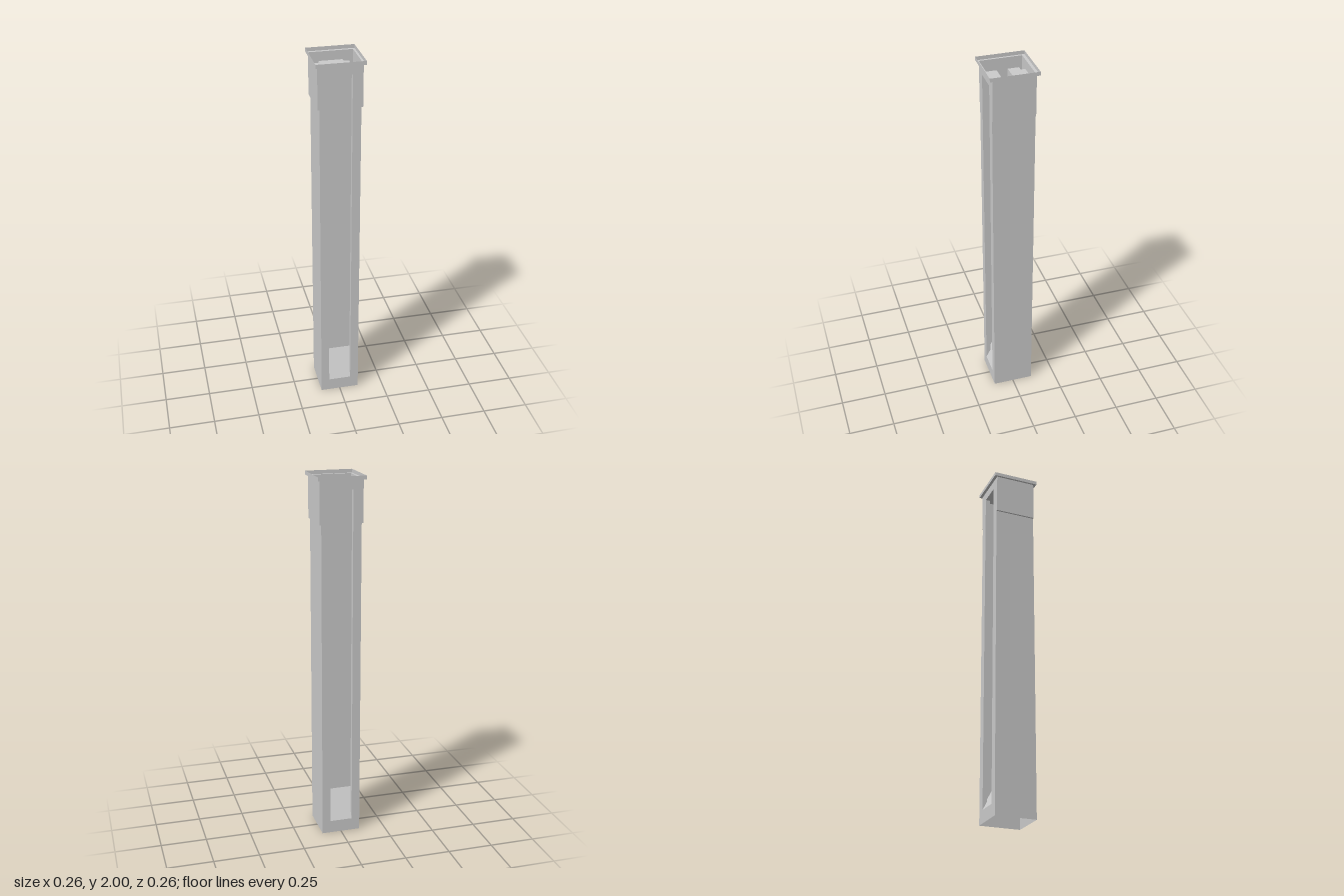
import * as THREE from 'three';

const BODY_X = 0.108, COLLAR_X = 0.117, HALF_Z = 0.1125, RIM = 0.128;
const COLLAR_Y = 1.755, RIM_Y = 1.98, TOP_Y = 2;
const SLOT_X = 0.0625, SLOT_LOW = 0.07, SLOT_HIGH = 1.93;
const CAVITY_X = 0.0905, LIP_Z = 0.088, BACK_Z = 0.029, RAMP_TOP = 0.23;

const material = new THREE.MeshStandardMaterial({
  color: 0xcccccc, side: THREE.DoubleSide, flatShading: true,
});

function addMesh(parent, name, geometry) {
  geometry.computeVertexNormals();
  const mesh = new THREE.Mesh(geometry, material);
  mesh.name = name;
  parent.add(mesh);
  return mesh;
}

const shapeOf = (points) => new THREE.Shape(points.map(([a, b]) => new THREE.Vector2(a, b)));
const rectangle = (x, y0, y1) => [[-x, y0], [x, y0], [x, y1], [-x, y1]];

// Strip of quads between two matching rows of [x, y, z] points
function strip(rowA, rowB) {
  const positions = [];
  for (let i = 0; i < rowA.length - 1; i++) {
    positions.push(...rowA[i], ...rowA[i + 1], ...rowB[i + 1]);
    positions.push(...rowA[i], ...rowB[i + 1], ...rowB[i]);
  }
  const geometry = new THREE.BufferGeometry();
  geometry.setAttribute('position', new THREE.Float32BufferAttribute(positions, 3));
  return geometry;
}

// Flat plan shape (x, z) raised to a height that depends on z
function raisedPlan(shape, height) {
  const geometry = new THREE.ShapeGeometry(shape);
  const p = geometry.attributes.position;
  for (let i = 0; i < p.count; i++) {
    const z = p.getY(i);
    p.setXYZ(i, p.getX(i), height(z), z);
  }
  return geometry;
}

// Slotted face with the undercut channel behind it
function createSlottedFace() {
  const face = new THREE.Group();
  const panel = shapeOf([
    [-BODY_X, 0], [BODY_X, 0], [BODY_X, COLLAR_Y], [COLLAR_X, COLLAR_Y],
    [COLLAR_X, RIM_Y], [-COLLAR_X, RIM_Y], [-COLLAR_X, COLLAR_Y], [-BODY_X, COLLAR_Y],
  ]);
  panel.holes.push(shapeOf(rectangle(SLOT_X, SLOT_LOW, SLOT_HIGH)));
  addMesh(face, 'slottedPanel', new THREE.ShapeGeometry(panel).translate(0, 0, HALF_Z));

  // T-shaped channel plan: narrow slot, then a wider cavity
  const plan = [
    [SLOT_X, HALF_Z], [SLOT_X, LIP_Z], [CAVITY_X, LIP_Z], [CAVITY_X, BACK_Z],
    [-CAVITY_X, BACK_Z], [-CAVITY_X, LIP_Z], [-SLOT_X, LIP_Z], [-SLOT_X, HALF_Z],
  ];
  const ramp = (z) => THREE.MathUtils.mapLinear(z, HALF_Z, BACK_Z, SLOT_LOW, RAMP_TOP);
  addMesh(face, 'channelWalls', strip(
    plan.map(([x, z]) => [x, ramp(z), z]),
    plan.map(([x, z]) => [x, SLOT_HIGH, z]),
  ));
  addMesh(face, 'channelRamp', raisedPlan(shapeOf(plan), ramp));
  addMesh(face, 'channelCeiling', raisedPlan(shapeOf(plan), () => SLOT_HIGH));
  return face;
}

export function createModel() {
  const model = new THREE.Group();
  model.name = 'slottedTube';

  // Front and back faces
  ['frontFace', 'backFace'].forEach((name, i) => {
    const face = createSlottedFace();
    face.name = name;
    face.rotation.y = i * Math.PI;
    model.add(face);
  });

  // Plain sides that step out into the collar
  const profile = [[BODY_X, 0], [BODY_X, COLLAR_Y], [COLLAR_X, COLLAR_Y], [COLLAR_X, RIM_Y]];
  ['leftSide', 'rightSide'].forEach((name, i) => {
    const side = addMesh(model, name, strip(
      profile.map(([x, y]) => [x, y, HALF_Z]),
      profile.map(([x, y]) => [x, y, -HALF_Z]),
    ));
    side.rotation.y = i * Math.PI;
  });

  // Rim: flat ledge and its upright edge
  const ledge = shapeOf(rectangle(RIM, -RIM, RIM));
  ledge.holes.push(shapeOf(rectangle(COLLAR_X, -HALF_Z, HALF_Z)));
  addMesh(model, 'rimLedge', raisedPlan(ledge, () => RIM_Y));
  const outline = [[-RIM, RIM], [RIM, RIM], [RIM, -RIM], [-RIM, -RIM], [-RIM, RIM]];
  addMesh(model, 'rimEdge', strip(
    outline.map(([x, z]) => [x, RIM_Y, z]),
    outline.map(([x, z]) => [x, TOP_Y, z]),
  ));
  return model;
}
